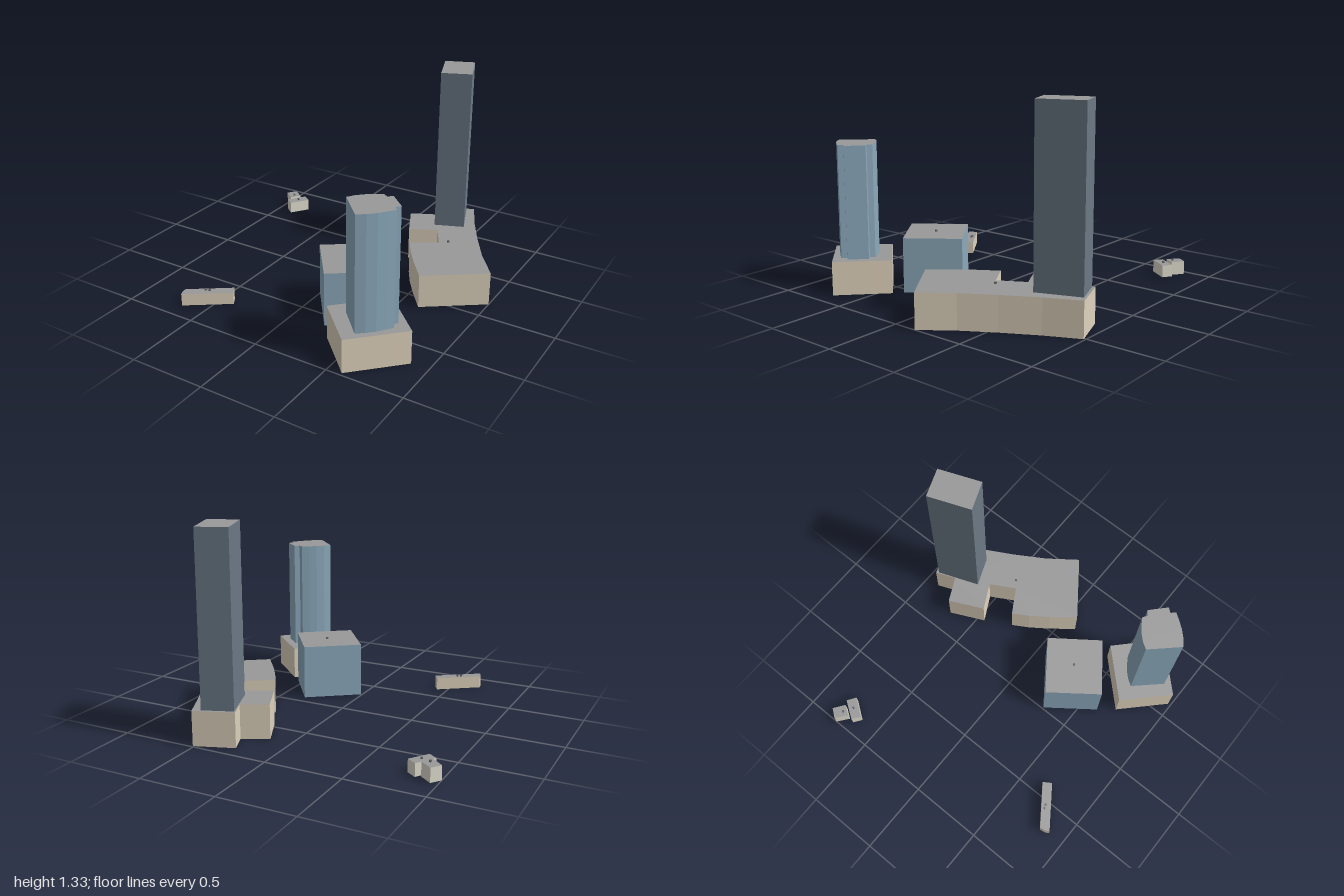
import * as THREE from 'three';

const material = (color) => new THREE.MeshStandardMaterial({ color, side: THREE.DoubleSide, flatShading: true });

// Footprints are [x, z] corners, clockwise seen from above
const curvedPodium = [
  [0.26, -0.9], [0.51, -0.99], [0.61, -0.775], [0.73, -0.556], [0.855, -0.35], [1, -0.155],
  [0.63, 0.112], [0.51, -0.04], [0.425, -0.16], [0.36, -0.27], [0.53, -0.37], [0.435, -0.54],
  [0.26, -0.45], [0.15, -0.685], [0.315, -0.765],
];
const darkTower = [[0.275, -0.885], [0.465, -0.957], [0.57, -0.68], [0.38, -0.605]];
const blueBlock = [[0.01, 0.305], [0.33, 0.073], [0.555, 0.38], [0.24, 0.612]];
const squarePodium = [[0.325, 0.715], [0.61, 0.425], [0.885, 0.69], [0.595, 0.98]];
const blueTower = [
  [0.46, 0.715], [0.49, 0.67], [0.53, 0.63], [0.575, 0.597], [0.62, 0.57], [0.65, 0.59], [0.68, 0.567],
  [0.78, 0.66], [0.755, 0.69], [0.782, 0.715], [0.75, 0.76], [0.715, 0.805], [0.67, 0.85], [0.62, 0.885],
];
const bar = [[-0.685, 0.825], [-0.43, 0.645], [-0.395, 0.7], [-0.665, 0.89], [-0.68, 0.86]];
const houseA = [[-0.955, -0.83], [-0.88, -0.775], [-0.925, -0.71], [-1, -0.77]];
const houseB = [[-0.85, -0.795], [-0.79, -0.755], [-0.875, -0.635], [-0.93, -0.675]];

export function createModel() {
  const model = new THREE.Group();
  const beige = material(0xdfd3bd), blue = material(0x8eabbe), slate = material(0x6b7986);
  const cream = material(0xdedacd), roofGrey = material(0x999999), ventGrey = material(0x666666);

  // A hollow block: walls around the footprint, a flat roof and an open bottom
  function building(name, footprint, height, wallMaterial, vents = []) {
    const group = new THREE.Group();
    group.name = name;
    const positions = [];
    footprint.forEach(([ax, az], i) => {
      const [bx, bz] = footprint[(i + 1) % footprint.length];
      positions.push(bx, 0, bz, ax, 0, az, ax, height, az);
      positions.push(bx, 0, bz, ax, height, az, bx, height, bz);
    });
    const wallGeometry = new THREE.BufferGeometry();
    wallGeometry.setAttribute('position', new THREE.Float32BufferAttribute(positions, 3));
    wallGeometry.computeVertexNormals();
    const walls = new THREE.Mesh(wallGeometry, wallMaterial);
    walls.name = name + 'Walls';

    const outline = new THREE.Shape(footprint.map(([x, z]) => new THREE.Vector2(x, -z)));
    const roof = new THREE.Mesh(new THREE.ShapeGeometry(outline).rotateX(-Math.PI / 2), roofGrey);
    roof.position.y = height;
    roof.name = name + 'Roof';
    group.add(walls, roof);

    // Small roof vents
    for (const [x, z] of vents) {
      const vent = new THREE.Mesh(new THREE.CylinderGeometry(0.008, 0.008, 0.012, 8), ventGrey);
      vent.position.set(x, height + 0.005, z);
      vent.name = name + 'Vent';
      group.add(vent);
    }
    model.add(group);
  }

  // Towers run down through their podiums to the ground
  building('curvedPodium', curvedPodium, 0.225, beige, [[0.58, -0.41]]);
  building('darkTower', darkTower, 1.33, slate);
  building('blueBlock', blueBlock, 0.363, blue, [[0.29, 0.335]]);
  building('squarePodium', squarePodium, 0.22, beige);
  building('blueTower', blueTower, 0.96, blue);

  // Small outlying buildings
  building('longShed', bar, 0.082, beige, [[-0.565, 0.765], [-0.54, 0.757]]);
  building('houseA', houseA, 0.09, cream, [[-0.925, -0.755]]);
  building('houseB', houseB, 0.082, cream, [[-0.86, -0.72]]);

  return model;
}
